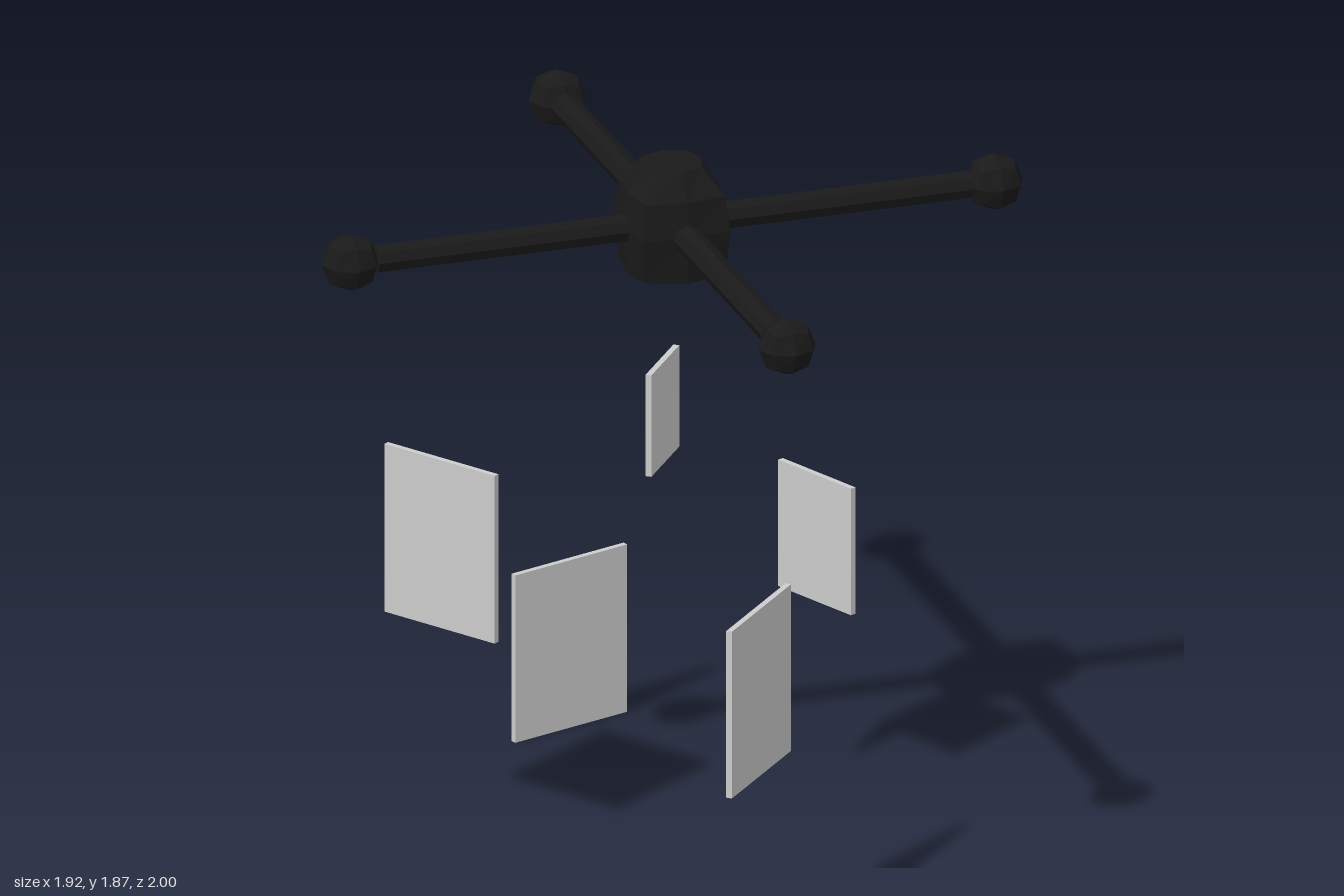
import * as THREE from 'three';

const ARM_Y = 1.697;

// Box grid whose vertices are moved by a rule, faceted
function shapedBox(rows, rule) {
  const geo = new THREE.BoxGeometry(2, 2, 2, 2, rows, 2);
  const p = geo.attributes.position;
  const v = new THREE.Vector3();
  for (let i = 0; i < p.count; i++) {
    v.fromBufferAttribute(p, i);
    rule(v);
    p.setXYZ(i, v.x, v.y, v.z);
  }
  geo.computeVertexNormals();
  return geo;
}

export function createModel() {
  const group = new THREE.Group();
  const dark = new THREE.MeshStandardMaterial({ color: 0x1a1a1a, flatShading: true });
  const grey = new THREE.MeshStandardMaterial({ color: 0xcccccc, flatShading: true });

  const add = (name, geo, mat, x, y, z) => {
    const mesh = new THREE.Mesh(geo, mat);
    mesh.name = name;
    mesh.position.set(x, y, z);
    group.add(mesh);
    return mesh;
  };

  // Hub: bulging block, rows from bottom to top as [height, side middle, corner]
  const rings = [[1.58, 0.125, 0.11], [1.70, 0.135, 0.12], [1.795, 0.122, 0.108], [1.866, 0.08, 0.06]];
  const hubGeo = shapedBox(3, (v) => {
    const row = Math.round((v.y + 1) * 1.5);
    const [h, mid, corner] = rings[row];
    const edges = Math.abs(Math.round(v.x)) + Math.abs(Math.round(v.z));
    const r = edges === 2 ? corner : mid;
    v.set(v.x * r, h, v.z * r);
    if (row === 0) v.y -= [0.023, 0.01, 0][edges];
  });
  add('hub', hubGeo, dark, 0, 0, 0);

  // Four arms with a faceted ball at each tip
  const ballGeo = shapedBox(2, (v) => v.setLength(0.078));
  for (let i = 0; i < 4; i++) {
    const along = i % 2 ? 'z' : 'x';
    const sign = i < 2 ? 1 : -1;
    const reach = along === 'x' ? 0.882 : 0.922;
    const length = reach - 0.068;
    const dir = new THREE.Vector3();
    dir[along] = sign;
    const mid = dir.clone().multiplyScalar(length / 2);
    const arm = add('arm', new THREE.CylinderGeometry(0.038, 0.038, length, 8), dark, mid.x, ARM_Y, mid.z);
    arm.quaternion.setFromUnitVectors(new THREE.Vector3(0, 1, 0), dir);
    add('tipBall', ballGeo, dark, dir.x * reach, ARM_Y, dir.z * reach);
  }

  // Free-hanging panels: start x, z, end x, z, bottom, top
  const panels = [
    ['backPanel', -0.19, -0.717, 0.155, -0.83, 0, 0.467],
    ['rightPanel', -0.712, -0.208, -0.514, 0.098, 0.625, 1.093],
    ['leftPanel', 0.395, -0.287, 0.507, -0.032, 0.524, 0.877],
    ['frontPanel', -0.148, 0.893, 0.106, 0.625, 0.444, 0.909],
    ['centrePanel', -0.107, 0.125, 0.03, -0.053, 1.047, 1.33],
  ];
  for (const [name, x0, z0, x1, z1, y0, y1] of panels) {
    const geo = new THREE.BoxGeometry(Math.hypot(x1 - x0, z1 - z0), y1 - y0, 0.016);
    const panel = add(name, geo, grey, (x0 + x1) / 2, (y0 + y1) / 2, (z0 + z1) / 2);
    panel.rotation.y = Math.atan2(z0 - z1, x1 - x0);
  }
  return group;
}
